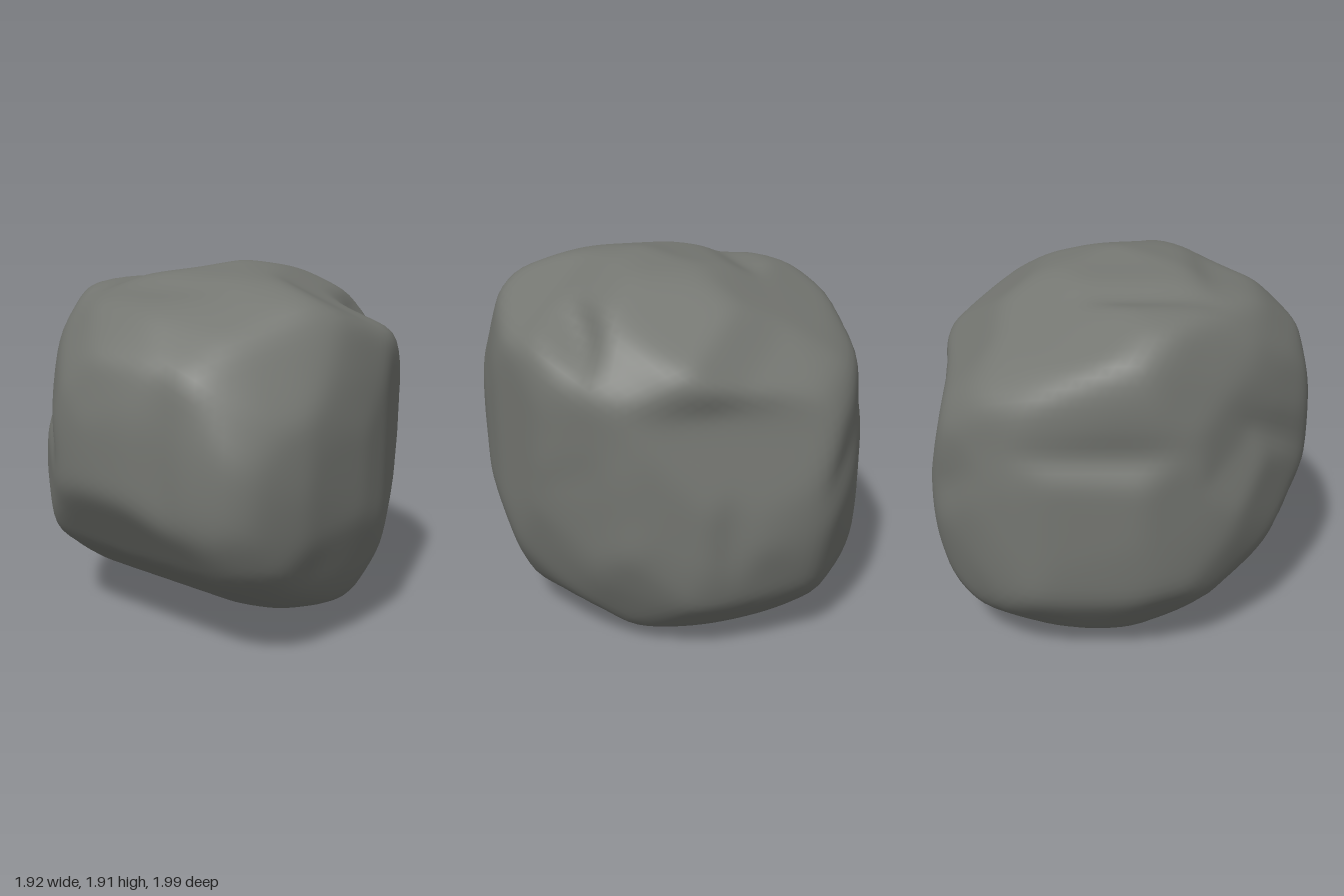
import * as THREE from 'three';
import { mergeVertices } from 'three/addons/utils/BufferGeometryUtils.js';

// Outlines of the boulder about its middle (0, 1, 0), in planes turned around it
const acrossX = [ // x, y
  [0.95, 0.15], [0.95, -0.27], [0.85, -0.63], [0.76, -0.82], [0.50, -0.85], [0.29, -0.98], [0.15, -1],
  [-0.30, -0.995], [-0.70, -0.89], [-0.93, -0.59], [-0.955, -0.25], [-0.955, 0.05], [-0.89, 0.19], [-0.925, 0.30],
  [-0.93, 0.46], [-0.90, 0.62], [-0.76, 0.755], [-0.56, 0.80], [-0.42, 0.77], [-0.27, 0.84], [-0.03, 0.88],
  [0.13, 0.92], [0.42, 0.87], [0.73, 0.84], [0.83, 0.78], [0.86, 0.72], [0.92, 0.42]];
const acrossZ = [ // z, y
  [1, 0.22], [0.99, -0.10], [0.97, -0.15], [0.72, -0.52], [0.33, -0.80], [-0.20, -0.99], [-0.55, -0.98],
  [-0.68, -0.93], [-0.93, -0.70], [-1, -0.36], [-0.96, -0.12], [-0.89, 0.20], [-0.87, 0.32], [-0.93, 0.40],
  [-0.90, 0.55], [-0.55, 0.80], [-0.35, 0.86], [-0.02, 0.92], [0.35, 0.86], [0.44, 0.80], [0.74, 0.74], [0.94, 0.53]];
const plan = [ // x, z
  [0.95, 0.05], [0.93, 0.48], [0.83, 0.77], [0.74, 0.86], [0.51, 0.93], [0.41, 0.91], [0.24, 0.98], [-0.05, 1],
  [-0.27, 0.96], [-0.79, 0.56], [-0.955, 0.11], [-0.945, -0.35], [-0.91, -0.50], [-0.79, -0.72], [-0.64, -0.93],
  [-0.52, -0.97], [-0.21, -1], [-0.09, -0.95], [0.04, -0.97], [0.38, -0.89], [0.56, -0.80], [0.75, -0.61], [0.92, -0.17]];
const frontSlant = [
  [-0.61, 0.85], [-0.25, 0.87], [0.25, 0.89], [0.41, 0.85], [0.62, 0.80], [0.73, 0.71], [0.81, 0.57], [0.96, 0.42],
  [0.90, -0.31], [0.80, -0.67], [0.63, -0.93], [0.25, -0.98], [-0.25, -0.86], [-0.64, -0.69], [-0.92, -0.53],
  [-0.97, -0.22], [-0.86, 0.16], [-0.84, 0.41], [-0.71, 0.80]];
const backSlant = [
  [-0.38, 1.01], [-0.63, 0.93], [-0.86, 0.70], [-0.96, 0.37], [-0.91, -0.03], [-0.90, -0.49], [-0.72, -0.88],
  [-0.43, -1.08], [-0.09, -1.19], [0.42, -1.07], [0.83, -0.67], [0.96, -0.21], [0.92, 0.08], [0.84, 0.19],
  [0.87, 0.33], [0.82, 0.57], [0.65, 0.78], [0.37, 0.93], [0.09, 0.97], [-0.09, 0.99]];
const underSlant = [
  [-0.69, 0.86], [-0.35, 0.86], [-0.09, 0.92], [0.08, 0.95], [0.54, 0.76], [0.71, 0.59], [0.99, 0.39], [1.07, 0.25],
  [1.03, 0.01], [1.08, -0.15], [1.01, -0.69], [0.69, -0.96], [0.25, -1.05], [-0.09, -0.95], [-0.97, -0.54],
  [-1.12, -0.20], [-1.12, 0.06], [-1.03, 0.33], [-0.89, 0.52]];

// A plane through the middle, given by its own right and up directions
function plane(outline, right, up, slack = 1, trust = 1) {
  const r = new THREE.Vector3(...right).normalize();
  return { outline, right: r, up: new THREE.Vector3(...up).normalize(), slack, trust };
}

// Slanted plane facing the corner (sx, sz), tilted by a height angle in degrees
function slanted(outline, sx, sz, degrees) {
  const a = THREE.MathUtils.degToRad(degrees);
  const tilt = -Math.sin(a) / Math.SQRT2;
  return plane(outline, [sz, 0, -sx], [sx * tilt, Math.cos(a), sz * tilt], 1.02, 0.6);
}

const planes = [
  plane(acrossX, [1, 0, 0], [0, 1, 0]),
  plane(acrossZ, [0, 0, 1], [0, 1, 0]),
  plane(plan, [1, 0, 0], [0, 0, 1]),
  slanted(frontSlant, 1, 1, 30),
  slanted(backSlant, -1, -1, 30),
  slanted(underSlant, 1, -1, -27)];

// Distance from the middle to an outline, along the unit direction (u, v)
function reach(outline, u, v) {
  let best = 0;
  outline.forEach(([ax, ay], i) => {
    const [bx, by] = outline[(i + 1) % outline.length];
    const ex = bx - ax, ey = by - ay;
    const det = u * ey - v * ex;
    if (Math.abs(det) < 1e-9) return;
    const t = (ax * ey - ay * ex) / det;
    const s = (ax * v - ay * u) / det;
    if (t > 0 && s >= -1e-6 && s <= 1 + 1e-6) best = Math.max(best, t);
  });
  return best;
}

// Surface distance: a blend of the round fill and the outer limit of the outlines
function rockRadius(d) {
  let sum = 0, weight = 0, limit = Infinity;
  for (const { outline, right, up, slack, trust } of planes) {
    const u = d.dot(right), v = d.dot(up), len = Math.hypot(u, v);
    if (len < 1e-4) continue;
    const r = reach(outline, u / len, v / len);
    const w = trust / (Math.max(0, 1 - len * len) + 0.03);
    sum += w * r;
    weight += w;
    limit = Math.min(limit, slack * r / len);
  }
  let r = Math.min(limit, 0.5 * limit + 0.5 * sum / weight);
  // the sloping shoulder beside the tilted cap at the upper back
  const cap = 0.34 * (1 - THREE.MathUtils.smoothstep(d.x * r, 0.36, 0.58));
  const slope = d.y - 0.55 * d.z;
  if (slope > 0) r = Math.min(r, (0.84 + cap) / slope);
  return r * 1.008;
}

// Soften the ridges by averaging neighbours
function soften(geometry, passes) {
  const pos = geometry.attributes.position;
  const index = geometry.index.array;
  for (let pass = 0; pass < passes; pass++) {
    const total = new Float32Array(pos.count * 3), count = new Float32Array(pos.count);
    for (let t = 0; t < index.length; t += 3) {
      for (let k = 0; k < 3; k++) {
        const a = index[t + k], b = index[t + (k + 1) % 3];
        for (let c = 0; c < 3; c++) total[a * 3 + c] += pos.array[b * 3 + c];
        count[a]++;
      }
    }
    for (let i = 0; i < pos.array.length; i++) {
      pos.array[i] = 0.5 * pos.array[i] + 0.5 * total[i] / count[Math.floor(i / 3)];
    }
  }
}

export function createModel() {
  const group = new THREE.Group();
  const stone = new THREE.MeshStandardMaterial({ color: 0x747671 });
  stone.name = 'stone grey';

  let geometry = new THREE.IcosahedronGeometry(1, 24);
  geometry.deleteAttribute('normal');
  geometry.deleteAttribute('uv');
  geometry = mergeVertices(geometry, 1e-4);
  const pos = geometry.attributes.position;
  const d = new THREE.Vector3();
  for (let i = 0; i < pos.count; i++) {
    d.fromBufferAttribute(pos, i).normalize();
    d.multiplyScalar(rockRadius(d));
    pos.setXYZ(i, d.x, d.y, d.z);
  }
  soften(geometry, 3);

  // stand it on the ground
  geometry.computeBoundingBox();
  geometry.translate(0, -geometry.boundingBox.min.y, 0);
  geometry.computeVertexNormals();

  const boulder = new THREE.Mesh(geometry, stone);
  boulder.name = 'boulder';
  group.add(boulder);
  return group;
}
